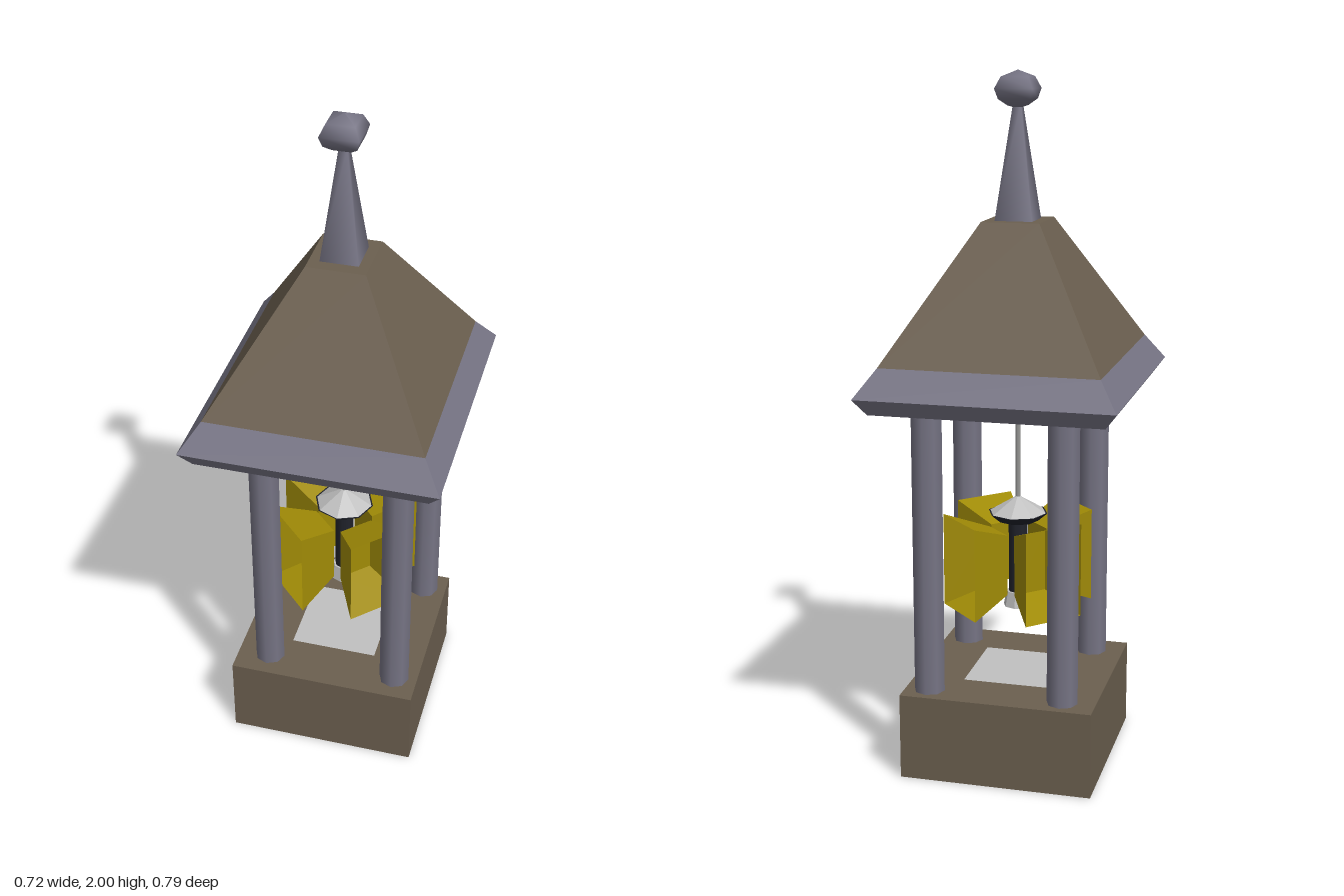
import * as THREE from 'three';

const mat = (name, color, side = THREE.FrontSide) => {
  const m = new THREE.MeshStandardMaterial({ color, side });
  m.name = name;
  return m;
};

const flat = (geo) => {
  const g = geo.toNonIndexed();
  g.computeVertexNormals();
  return g;
};

// Flat-faced rectangular shell through rings of [halfX, halfZ, y]
function shell(rings) {
  const pos = [];
  const corner = ([x, z, y], i) => {
    const k = i % 4;
    return [k === 1 || k === 2 ? x : -x, y, k < 2 ? z : -z];
  };
  for (let r = 0; r < rings.length - 1; r++) {
    for (let i = 0; i < 4; i++) {
      const a = corner(rings[r], i), b = corner(rings[r], i + 1);
      const c = corner(rings[r + 1], i + 1), d = corner(rings[r + 1], i);
      if (rings[r][0] !== 0) pos.push(...a, ...b, ...c);
      if (rings[r + 1][0] !== 0) pos.push(...a, ...c, ...d);
    }
  }
  const g = new THREE.BufferGeometry();
  g.setAttribute('position', new THREE.Float32BufferAttribute(pos, 3));
  g.computeVertexNormals();
  return g;
}

export function createModel() {
  const model = new THREE.Group();
  const brown = mat('weathered brown', 0x6b5f4f, THREE.DoubleSide);
  const slate = mat('slate grey', 0x767484, THREE.DoubleSide);
  const yellow = mat('yellow glass', 0xa08b06, THREE.DoubleSide);
  const pale = mat('pale grey', 0xc0c0c0, THREE.DoubleSide);
  const dark = mat('dark iron', 0x20222b);
  const cord = mat('cord grey', 0x989896);

  const add = (name, geo, material, x = 0, y = 0, z = 0, parent = model) => {
    const m = new THREE.Mesh(geo, material);
    m.name = name;
    m.position.set(x, y, z);
    parent.add(m);
    return m;
  };

  // Hollow base, open underneath, with a thin pale plate on top
  add('base', shell([[0.28, 0.28, 0], [0.28, 0.28, 0.253], [0, 0, 0.253]]), brown);
  add('basePlate', new THREE.PlaneGeometry(0.26, 0.26).rotateX(-Math.PI / 2), pale, 0, 0.256, 0);

  // Four pillars
  const pillarGeo = new THREE.CylinderGeometry(0.045, 0.045, 0.845, 8);
  for (const x of [-0.183, 0.209])
    for (const z of [-0.214, 0.198]) add('pillar', pillarGeo, slate, x, 0.6735, z);

  // Eaves and hollow roof with its lining
  add('eaves', shell([
    [0.26, 0.295, 1.096], [0.327, 0.367, 1.096], [0.361, 0.396, 1.142], [0.307, 0.336, 1.22],
  ]), slate);
  add('roof', shell([[0.307, 0.336, 1.22], [0.083, 0.09, 1.592], [0, 0, 1.592]]), brown);
  add('roofLining', shell([[0.26, 0.295, 1.096], [0.08, 0.087, 1.57]]), brown);

  // Square spire and finial with softened shading
  const spire = add('spire', new THREE.CylinderGeometry(0.016, 0.076, 0.32, 4), slate, 0, 1.75, 0);
  spire.rotation.y = Math.PI / 4;
  const profile = [[0, 1.895], [0.035, 1.905], [0.064, 1.922], [0.076, 1.95], [0.055, 1.982], [0, 2]]
    .map(([r, y]) => new THREE.Vector2(r, y));
  const finial = add('finial', new THREE.LatheGeometry(profile, 4), slate);
  finial.rotation.y = Math.PI / 4;

  // Hanging lantern
  const lantern = new THREE.Group();
  lantern.name = 'lantern';
  model.add(lantern);
  add('cord', new THREE.CylinderGeometry(0.007, 0.007, 0.81, 6), cord, 0, 1.185, 0, lantern);
  add('lanternCap', flat(new THREE.ConeGeometry(0.085, 0.052, 8)), pale, 0, 0.767, 0, lantern);
  add('lanternCollar', new THREE.CylinderGeometry(0.088, 0.06, 0.024, 8), dark, 0, 0.73, 0, lantern);
  add('lanternCore', new THREE.CylinderGeometry(0.028, 0.028, 0.23, 8), dark, 0, 0.613, 0, lantern);
  add('lanternFoot', flat(new THREE.CylinderGeometry(0.034, 0.043, 0.045, 8)), pale, 0, 0.478, 0, lantern);

  // Four flared glass trays on the diagonals, open outwards
  const trayGeo = shell([[0, 0, 0.066], [0.052, 0.09, 0.066], [0.092, 0.1375, 0.197]]);
  trayGeo.rotateX(Math.PI / 2);
  for (let i = 0; i < 4; i++) {
    const tray = add('glassTray', trayGeo, yellow, 0, 0.603, 0, lantern);
    tray.rotation.y = Math.PI / 4 + (i * Math.PI) / 2;
  }
  return model;
}
